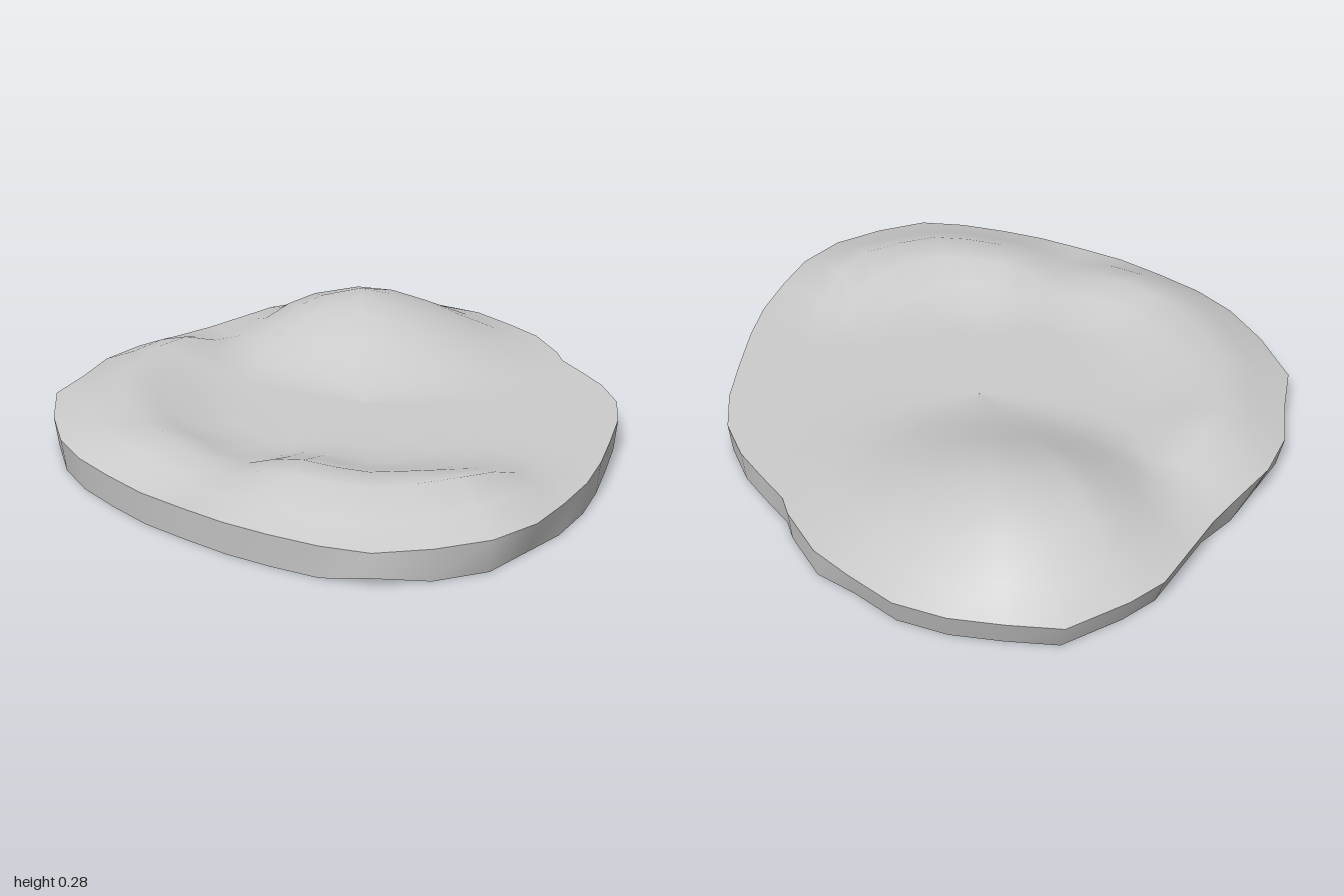
import * as THREE from 'three';

const RIM_Y = 0.11;

// Coastline, clockwise seen from above: x, z pairs
const OUTLINE = [
  [-0.17, -1], [0, -0.98], [0.15, -0.965], [0.31, -0.965], [0.47, -0.965], [0.6, -0.92],
  [0.8, -0.815], [0.88, -0.66], [0.95, -0.5], [0.985, -0.33], [0.96, -0.15], [0.93, 0],
  [0.84, 0.17], [0.79, 0.23], [0.74, 0.36], [0.69, 0.48], [0.6, 0.61], [0.47, 0.71],
  [0.3, 0.8], [0.15, 0.875], [0, 0.935], [-0.17, 0.975], [-0.33, 1], [-0.5, 0.975],
  [-0.66, 0.89], [-0.8, 0.78], [-0.87, 0.64], [-0.92, 0.48], [-0.955, 0.33], [-0.975, 0.17],
  [-0.99, 0], [-0.98, -0.17], [-0.96, -0.34], [-0.91, -0.5], [-0.81, -0.67], [-0.67, -0.84],
  [-0.5, -0.905], [-0.34, -0.98],
];

// Low ridges: crest line, height above the plain, half width
const RIDGES = [
  { crest: [[-0.17, -0.8], [-0.34, -0.76], [-0.5, -0.64], [-0.67, -0.48], [-0.8, -0.28], [-0.82, -0.12]], height: 0.085, width: 0.32 },
  { crest: [[-0.67, 0.34], [-0.62, 0.54], [-0.36, 0.8]], height: 0.092, width: 0.34 },
];

// Soft slope from 1 at the crest to 0 at the foot
const slope = (t) => (t < 1 ? 0.5 + 0.5 * Math.cos(Math.PI * t) : 0);

function distanceToLine(x, z, points) {
  let best = Infinity;
  for (let i = 0; i + 1 < points.length; i++) {
    const [ax, az] = points[i];
    const dx = points[i + 1][0] - ax, dz = points[i + 1][1] - az;
    const t = THREE.MathUtils.clamp(((x - ax) * dx + (z - az) * dz) / (dx * dx + dz * dz), 0, 1);
    best = Math.min(best, Math.hypot(x - ax - t * dx, z - az - t * dz));
  }
  return best;
}

// Ground height; u runs from 0 at the centre to 1 at the rim
function groundHeight(x, z, u) {
  const dx = x - 0.46, dz = z + 0.5;
  let h = 0.167 * slope(Math.hypot(dx / (dx < 0 ? 0.58 : 0.66), dz / (dz > 0 ? 0.8 : 0.58)));
  for (const r of RIDGES) {
    h = Math.max(h, r.height * slope(distanceToLine(x, z, r.crest) / r.width));
  }
  return RIM_Y + h * Math.min(1, (1 - u) / 0.16);
}

// Skin a list of closed loops, each ordered like OUTLINE, inner or upper loop first
function skin(loops) {
  const n = loops[0].length;
  const index = [];
  for (let r = 0; r + 1 < loops.length; r++) {
    for (let i = 0; i < n; i++) {
      const j = (i + 1) % n;
      const a = r * n + i, b = r * n + j, c = a + n, d = b + n;
      index.push(a, d, c, a, b, d);
    }
  }
  const geometry = new THREE.BufferGeometry();
  geometry.setAttribute('position', new THREE.Float32BufferAttribute(loops.flat(2), 3));
  geometry.setIndex(index);
  geometry.computeVertexNormals();
  return geometry;
}

export function createModel() {
  const group = new THREE.Group();
  group.name = 'island';
  const material = new THREE.MeshStandardMaterial({ color: 0xcccccc, side: THREE.DoubleSide });
  const add = (name, geometry) => {
    const mesh = new THREE.Mesh(geometry, material);
    mesh.name = name;
    group.add(mesh);
  };

  // Plain with hills, in rings from the centre to the rim
  const rings = 9;
  const loops = [];
  for (let r = 0; r <= rings; r++) {
    const u = Math.max(r / rings, 0.001);
    loops.push(OUTLINE.map(([x, z]) => [x * u, groundHeight(x * u, z * u, u), z * u]));
  }
  add('ground', skin(loops));

  // Wall down to an open underside: more taper at the back left, a nick at the front right
  const upper = OUTLINE.map(([x, z]) => [x, RIM_Y, z]);
  const lower = OUTLINE.map(([x, z]) => {
    if (x === -0.8) return [x, 0.03, z];
    const s = x > 0 && z < 0 ? 0.962 : 0.987;
    return [x * s, 0, THREE.MathUtils.clamp(z * s, -0.96, 0.96)];
  });
  add('shoreWall', skin([upper, lower]));

  return group;
}
